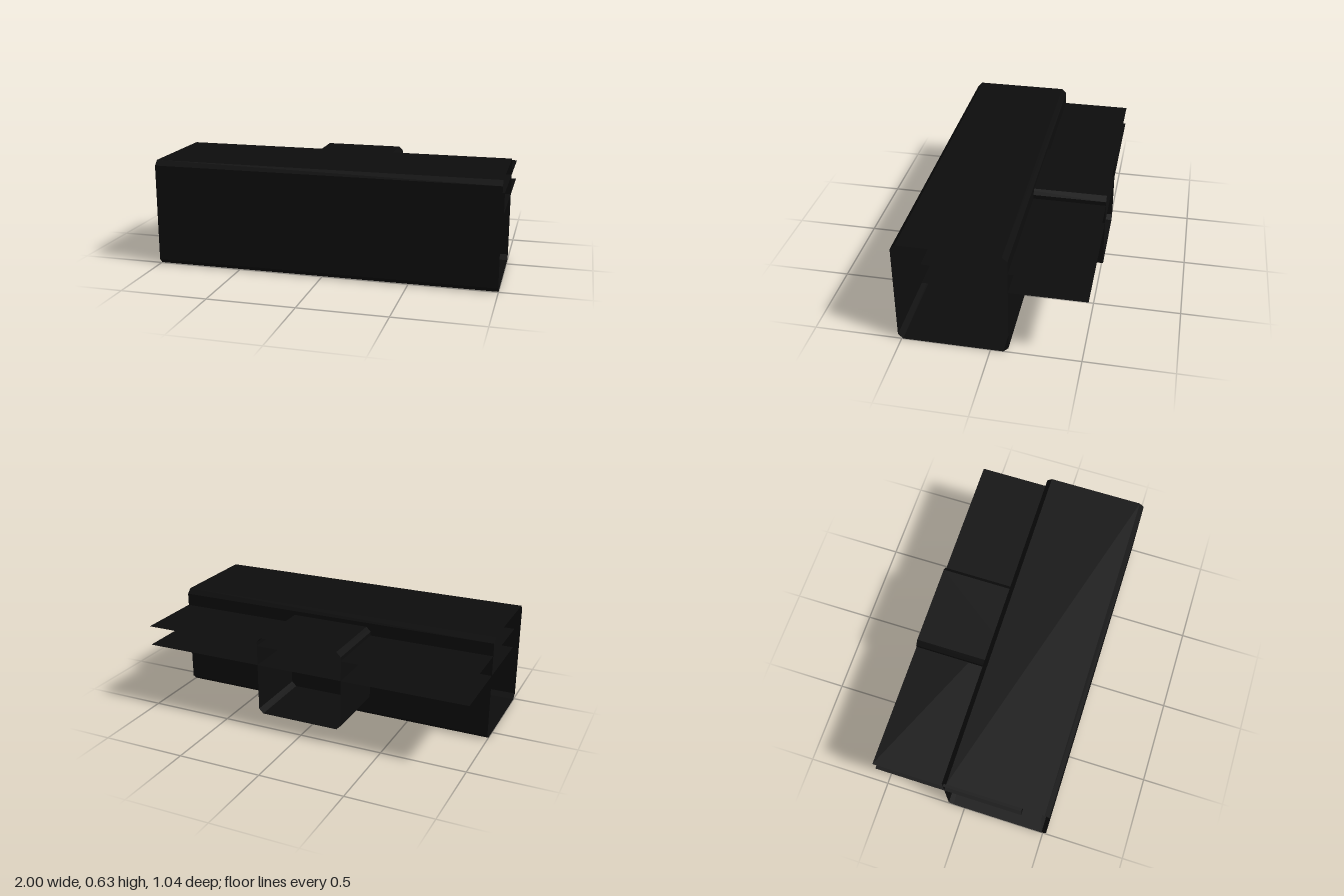
import * as THREE from 'three';

// Rectangle outline with cut corners, counter-clockwise
function chamferedRect(x0, x1, y0, y1, c) {
  return [
    [x0 + c, y0], [x1 - c, y0], [x1, y0 + c], [x1, y1 - c],
    [x1 - c, y1], [x0 + c, y1], [x0, y1 - c], [x0, y0 + c],
  ];
}

// Flat-sided skin through outlines placed at successive z positions, open at both ends
function loft(sections, closed = true) {
  const pos = [];
  for (let s = 0; s + 1 < sections.length; s++) {
    const [A, B] = [sections[s], sections[s + 1]];
    const n = A.outline.length;
    for (let i = 0; i < (closed ? n : n - 1); i++) {
      const j = (i + 1) % n;
      const a = [...A.outline[i], A.z], b = [...A.outline[j], A.z];
      const c = [...B.outline[j], B.z], d = [...B.outline[i], B.z];
      pos.push(...a, ...b, ...c, ...a, ...c, ...d);
    }
  }
  const g = new THREE.BufferGeometry();
  g.setAttribute('position', new THREE.Float32BufferAttribute(pos, 3));
  g.computeVertexNormals();
  return g;
}

export function createModel() {
  const model = new THREE.Group();
  const black = new THREE.MeshStandardMaterial({ color: 0x0d0d0d, side: THREE.DoubleSide });
  black.name = 'black';

  const add = (name, geometry) => {
    const mesh = new THREE.Mesh(geometry, black);
    mesh.name = name;
    model.add(mesh);
  };

  // Long profile running the full width along x, outline given as (-z, y)
  const alongX = (outline, closed) =>
    loft([{ outline, z: -1 }, { outline, z: 1 }], closed).rotateY(Math.PI / 2);

  // Main sleeve, open at both ends
  add('mainSleeve', alongX(chamferedRect(-0.52, 0.1, 0, 0.627, 0.028), true));

  // Thin channel passing through the sleeve, open to the back
  add('rearChannel', alongX([[0.52, 0.524], [-0.36, 0.524], [-0.36, 0.405], [0.52, 0.405]], false));

  // Central housing: bevelled front, open back
  const c = 0.027;
  const body = chamferedRect(-0.263, 0.263, 0.1, 0.575, c);
  const face = chamferedRect(-0.263 + c, 0.263 - c, 0.1 + c, 0.575 - c, 0);
  const centre = face.map(() => [0, 0.3375]);
  add('centralHousing', loft([
    { outline: body, z: -0.52 },
    { outline: body, z: 0.16 - c },
    { outline: face, z: 0.16 },
    { outline: centre, z: 0.16 },
  ]));

  return model;
}
